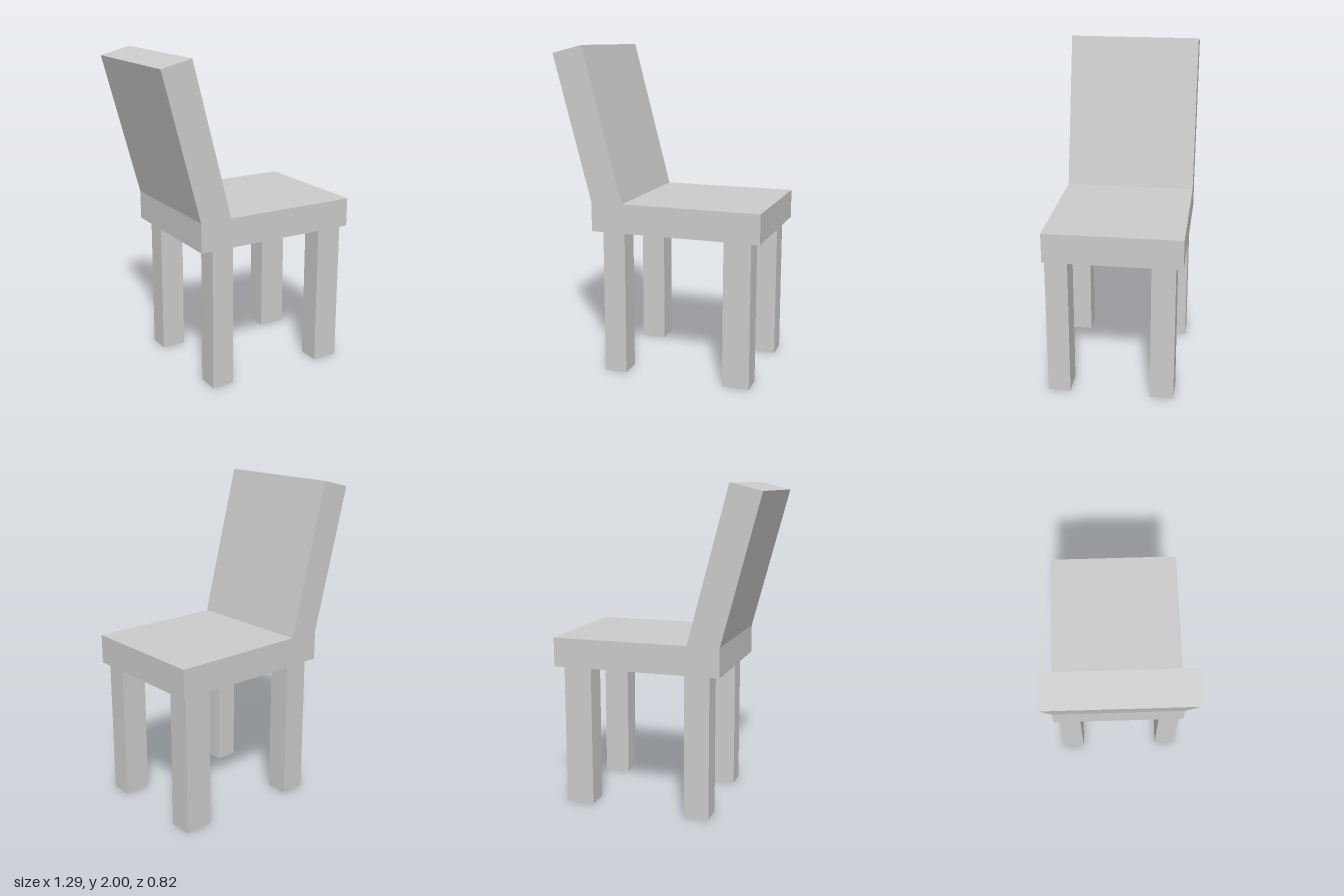
import * as THREE from 'three';

export function createModel() {
  const chair = new THREE.Group();
  chair.name = 'chair';
  const material = new THREE.MeshStandardMaterial({ color: 0xcccccc, flatShading: true });

  // Seat and leaning backrest: one side profile (x, y) extruded across z
  const depth = 0.82;
  const profile = new THREE.Shape([
    [-0.41, 0.885], [0.642, 0.885], [0.642, 1.065],
    [-0.21, 1.065], [-0.455, 2], [-0.645, 1.953], [-0.41, 1.065],
  ].map(([x, y]) => new THREE.Vector2(x, y)));
  const body = new THREE.ExtrudeGeometry(profile, { depth, bevelEnabled: false });
  body.translate(0, 0, -depth / 2);
  const seat = new THREE.Mesh(body, material);
  seat.name = 'seatAndBackrest';
  chair.add(seat);

  // Square legs, each slightly different in width: x range, z range
  const legHeight = 0.885;
  const legs = {
    frontLeftLeg: [0.425, 0.59, -0.365, -0.222],
    frontRightLeg: [0.425, 0.59, 0.27, 0.407],
    backLeftLeg: [-0.345, -0.19, -0.39, -0.25],
    backRightLeg: [-0.335, -0.195, 0.27, 0.407],
  };
  legs.frontLeftLeg[0] = 0.418;
  legs.frontLeftLeg[1] = 0.595;
  for (const [name, [x0, x1, z0, z1]] of Object.entries(legs)) {
    const leg = new THREE.Mesh(new THREE.BoxGeometry(x1 - x0, legHeight, z1 - z0), material);
    leg.position.set((x0 + x1) / 2, legHeight / 2, (z0 + z1) / 2);
    leg.name = name;
    chair.add(leg);
  }

  return chair;
}
